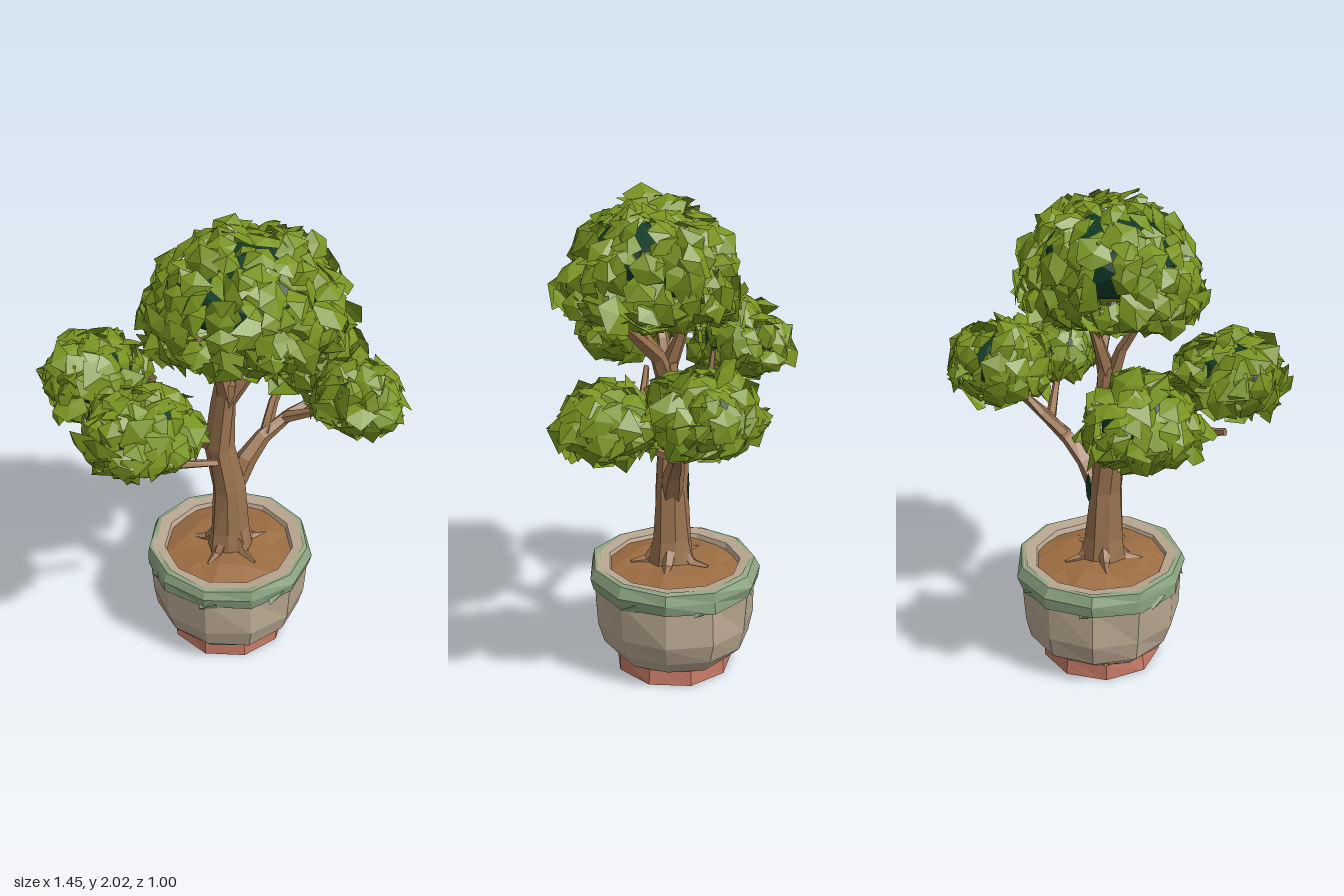
import * as THREE from 'three';

const paint = (name, color, side = THREE.FrontSide) => {
  const m = new THREE.MeshStandardMaterial({ color, flatShading: true, side });
  m.name = name;
  return m;
};

// Small seeded random source
let seed = 7;
const rnd = (a = 0, b = 1) => {
  seed = (seed * 1664525 + 1013904223) % 4294967296;
  return a + (b - a) * (seed / 4294967296);
};

const add = (group, name, geometry, material) => {
  const mesh = new THREE.Mesh(geometry, material);
  mesh.name = name;
  group.add(mesh);
  return mesh;
};

const fromTriangles = (positions) => {
  const g = new THREE.BufferGeometry();
  g.setAttribute('position', new THREE.Float32BufferAttribute(positions, 3));
  g.computeVertexNormals();
  return g;
};

// Shift vertices by a repeatable rule so that shared corners stay together
function roughen(geometry, amount) {
  const p = geometry.attributes.position;
  for (let i = 0; i < p.count; i++) {
    const x = p.getX(i), y = p.getY(i), z = p.getZ(i);
    const k = Math.round(x * 500) * 1.3 + Math.round(y * 500) * 2.7 + Math.round(z * 500) * 4.1;
    const grow = 1 + amount * Math.sin(k);
    p.setXYZ(i, x * grow, y > 0.01 ? y + amount * 0.25 * Math.cos(k * 1.7) : y, z * grow);
  }
  geometry.computeVertexNormals();
  return geometry;
}

const lathe = (points, sides) =>
  new THREE.LatheGeometry(points.map(([r, y]) => new THREE.Vector2(r, y)), sides);

// Tapered limb through points [x, y, z, radius]
function limb(points, sides) {
  const centres = points.map(([x, y, z]) => new THREE.Vector3(x, y, z));
  const last = points.length - 1;
  const rings = centres.map((c, i) => {
    const dir = centres[Math.min(i + 1, last)].clone().sub(centres[Math.max(i - 1, 0)]).normalize();
    const q = new THREE.Quaternion().setFromUnitVectors(new THREE.Vector3(0, 1, 0), dir);
    return Array.from({ length: sides }, (_, j) => {
      const a = (j / sides) * Math.PI * 2 + 0.3;
      const r = points[i][3] * (1 + 0.12 * Math.sin(j * 2.4 + i));
      return new THREE.Vector3(Math.cos(a) * r, 0, Math.sin(a) * r).applyQuaternion(q).add(c);
    });
  });
  const out = [];
  const tri = (...v) => v.forEach((p) => out.push(p.x, p.y, p.z));
  for (let j = 0; j < sides; j++) {
    const k = (j + 1) % sides;
    for (let i = 0; i < last; i++) {
      tri(rings[i][j], rings[i + 1][j], rings[i][k]);
      tri(rings[i][k], rings[i + 1][j], rings[i + 1][k]);
    }
    tri(centres[0], rings[0][j], rings[0][k]);
    tri(centres[last], rings[last][k], rings[last][j]);
  }
  return fromTriangles(out);
}

// Dome of folded leaves, spread evenly and tilted at random
function leafDome({ c, rx, rz, up, down, n }) {
  const out = [];
  const axis = new THREE.Vector3(0, 0, 1);
  for (let i = 0; i < n; i++) {
    const y = 1 - (2 * (i + 0.5)) / n;
    const a = i * 2.39996 + rnd(-0.2, 0.2);
    const s = Math.sqrt(1 - y * y);
    const ry = y > 0 ? up : down;
    const depth = i % 5 === 0 ? rnd(0.78, 0.88) : rnd(0.9, 1);
    const centre = new THREE.Vector3(
      c[0] + Math.cos(a) * s * rx * depth, c[1] + y * ry * depth, c[2] + Math.sin(a) * s * rz * depth);
    const normal = new THREE.Vector3((Math.cos(a) * s) / rx, y / ry, (Math.sin(a) * s) / rz).normalize();
    normal.add(new THREE.Vector3(rnd(-0.7, 0.7), rnd(-0.5, 0.7), rnd(-0.7, 0.7))).normalize();
    const q = new THREE.Quaternion().setFromUnitVectors(axis, normal);
    const size = rnd(0.06, 0.085), turn = rnd(0, 6.28);
    const rim = Array.from({ length: 5 }, (_, k) => {
      const t = turn + (k / 5) * Math.PI * 2 + rnd(-0.2, 0.2);
      const r = size * rnd(0.75, 1.1);
      return new THREE.Vector3(Math.cos(t) * r, Math.sin(t) * r, rnd(-0.025, 0.01)).applyQuaternion(q).add(centre);
    });
    const peak = new THREE.Vector3(0, 0, 0.018).applyQuaternion(q).add(centre);
    for (let k = 0; k < 5; k++)
      for (const v of [peak, rim[k], rim[(k + 1) % 5]]) out.push(v.x, v.y, v.z);
  }
  return fromTriangles(out);
}

export function createModel() {
  seed = 7;
  const model = new THREE.Group();
  model.name = 'pottedTree';

  const leaf = paint('leaf green', 0x789420, THREE.DoubleSide);
  const shade = paint('deep leaf shade', 0x123d28, THREE.DoubleSide);
  const bark = paint('bark brown', 0x9a7350);
  const stone = paint('stone beige', 0xb8a690);
  const moss = paint('moss grey green', 0x8ca582);
  const clay = paint('clay red', 0xc67a66);
  const earth = paint('soil brown', 0x9c6d42, THREE.DoubleSide);

  // Pot: clay foot, faceted stone bowl, mossy lip and soil
  const pot = new THREE.Group();
  pot.name = 'pot';
  pot.position.z = -0.033;
  model.add(pot);
  add(pot, 'potFoot', roughen(lathe([[0, 0], [0.255, 0], [0.25, 0.07], [0.2, 0.08]], 9), 0.015), clay);
  add(pot, 'potBowl', roughen(lathe([[0.2, 0.068], [0.265, 0.075], [0.315, 0.13], [0.34, 0.22], [0.34, 0.39]], 11), 0.02), stone);
  add(pot, 'potInnerLip', lathe([[0.335, 0.468], [0.28, 0.462], [0.265, 0.42]], 11), stone);
  add(pot, 'mossyLip', roughen(lathe([[0.335, 0.385], [0.352, 0.375], [0.36, 0.425], [0.345, 0.466], [0.325, 0.47]], 11), 0.018), moss);
  add(pot, 'soil', roughen(lathe([[0.285, 0.44], [0.18, 0.465], [0, 0.478]], 12), 0.03), earth);

  // Moss hanging over the lip
  for (let i = 0; i < 7; i++) {
    const a = i * 0.9 + 0.35;
    const patch = add(pot, 'mossPatch', new THREE.TetrahedronGeometry(0.05), moss);
    patch.scale.set(1.3, 0.7, 0.35);
    patch.position.set(Math.sin(a) * 0.338, 0.385, Math.cos(a) * 0.338);
    patch.rotation.y = a;
  }

  // Trunk and main limbs
  const wood = new THREE.Group();
  wood.name = 'trunkAndBranches';
  model.add(wood);
  add(wood, 'trunk', limb([[0, 0.44, -0.02, 0.1], [-0.005, 0.56, -0.02, 0.08], [-0.01, 0.78, -0.015, 0.068],
    [-0.045, 1.0, -0.015, 0.062], [-0.025, 1.2, -0.01, 0.05], [-0.015, 1.32, 0, 0.042]], 8), bark);
  const limbs = [
    [[-0.02, 1.24, 0, 0.04], [-0.06, 1.4, 0.03, 0.025], [-0.15, 1.58, 0.09, 0.014]],
    [[-0.02, 1.28, 0, 0.035], [-0.02, 1.42, -0.05, 0.026], [0.0, 1.6, -0.1, 0.015]],
    [[-0.02, 1.22, 0, 0.04], [0.07, 1.36, 0.02, 0.03], [0.2, 1.46, 0.06, 0.024], [0.34, 1.56, 0.1, 0.013]],
    [[0.06, 1.36, 0.02, 0.027], [0.1, 1.46, 0.08, 0.022], [0.12, 1.6, 0.14, 0.014]],
    [[0.0, 0.74, -0.02, 0.05], [0.08, 0.88, -0.05, 0.042], [0.16, 0.96, -0.08, 0.033], [0.29, 1.03, -0.11, 0.026], [0.53, 1.11, -0.15, 0.013]],
    [[0.17, 0.97, -0.08, 0.026], [0.23, 1.07, -0.16, 0.02], [0.33, 1.2, -0.24, 0.012]],
    [[0.26, 1.02, -0.1, 0.024], [0.36, 1.09, -0.01, 0.018], [0.48, 1.17, 0.09, 0.011]],
    [[-0.05, 1.0, -0.02, 0.045], [-0.17, 1.05, -0.07, 0.032], [-0.3, 1.08, -0.12, 0.025], [-0.5, 1.16, -0.2, 0.014]],
    [[-0.24, 1.07, -0.1, 0.024], [-0.27, 1.16, -0.12, 0.018], [-0.29, 1.3, -0.13, 0.012]],
    [[-0.36, 1.1, -0.15, 0.022], [-0.4, 1.2, -0.19, 0.016], [-0.44, 1.3, -0.22, 0.011]],
    [[-0.1, 1.04, 0.15, 0.016], [-0.27, 1.08, 0.17, 0.02], [-0.48, 1.15, 0.21, 0.014]],
  ];
  limbs.forEach((points) => add(wood, 'branch', limb(points, 5), bark));

  // Roots spreading over the soil
  for (let i = 0; i < 5; i++) {
    const a = i * 1.26 + 0.4, x = Math.sin(a), z = Math.cos(a);
    add(wood, 'root', limb([[x * 0.05, 0.52, z * 0.05 - 0.02, 0.03], [x * 0.1, 0.465, z * 0.1 - 0.02, 0.022],
      [x * 0.17, 0.462, z * 0.17 - 0.02, 0.008]], 5), bark);
  }

  // Dark knot on the back of the trunk
  const knot = add(wood, 'trunkKnot', new THREE.CircleGeometry(0.02, 8), shade);
  knot.scale.y = 3.2;
  knot.position.set(0, 0.8, -0.092);
  knot.rotation.y = Math.PI;

  // Leaf crowns, each over a dark core
  const crowns = [
    { name: 'topCrown', c: [0.045, 1.61, 0.05], rx: 0.4, rz: 0.345, up: 0.375, down: 0.1, n: 280 },
    { name: 'backRightCrown', c: [-0.5, 1.28, -0.2], rx: 0.2, rz: 0.22, up: 0.2, down: 0.13, n: 100 },
    { name: 'frontRightCrown', c: [-0.42, 1.34, 0.29], rx: 0.225, rz: 0.19, up: 0.165, down: 0.12, n: 95 },
    { name: 'backLeftCrown', c: [0.42, 1.23, -0.24], rx: 0.22, rz: 0.22, up: 0.19, down: 0.11, n: 100 },
    { name: 'frontLeftCrown', c: [0.5, 1.2, 0.09], rx: 0.18, rz: 0.19, up: 0.17, down: 0.1, n: 80 },
  ];
  for (const crown of crowns) {
    const group = new THREE.Group();
    group.name = crown.name;
    model.add(group);
    add(group, 'leaves', leafDome(crown), leaf);
    const core = add(group, 'leafCore', new THREE.IcosahedronGeometry(1, 1), shade);
    const half = (crown.up + crown.down) / 2;
    core.scale.set(crown.rx * 0.72, half * 0.68, crown.rz * 0.72);
    core.position.set(crown.c[0], crown.c[1] + (crown.up - crown.down) / 2, crown.c[2]);
  }
  return model;
}
